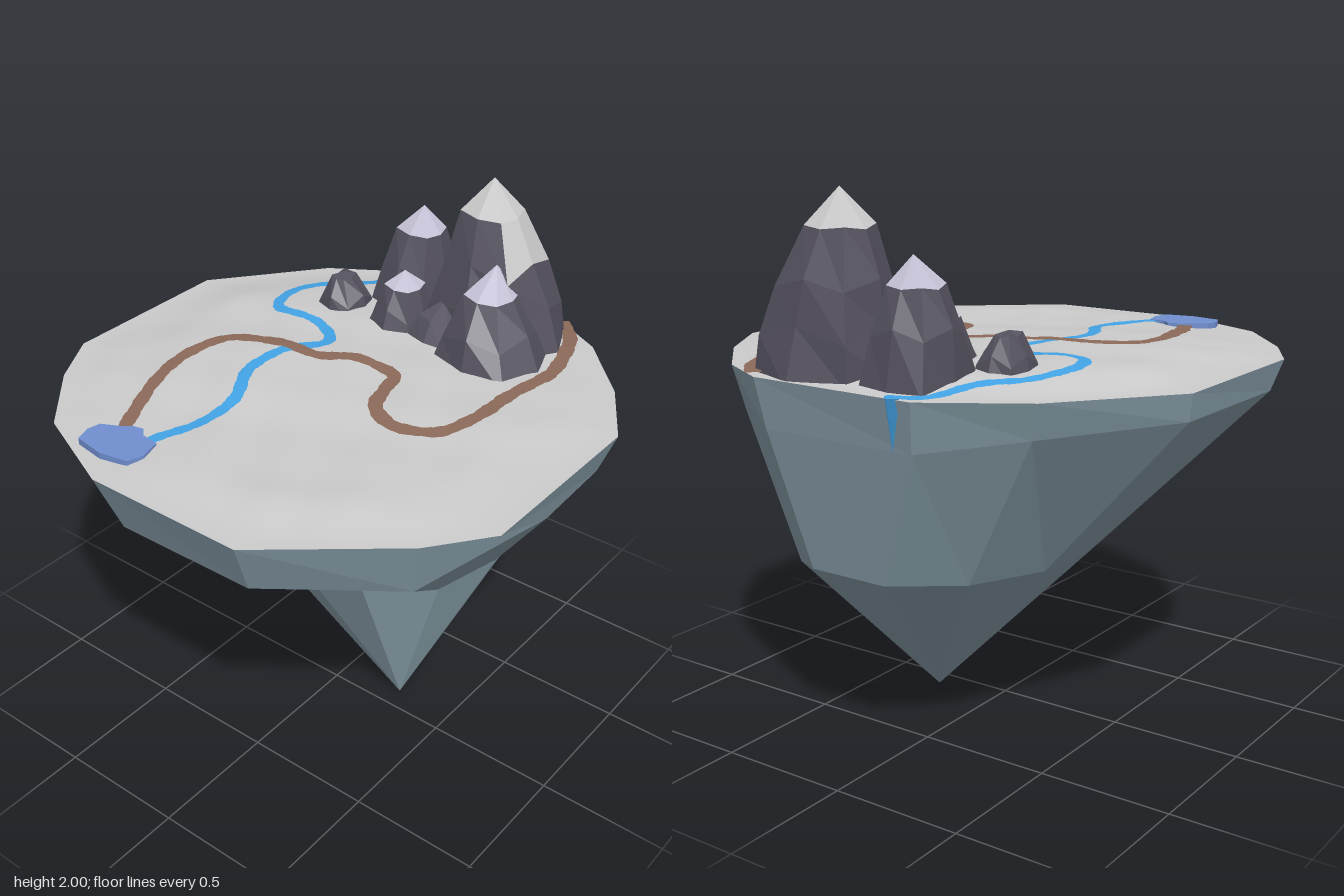
import * as THREE from 'three';

const mat = (color, extra = {}) => new THREE.MeshStandardMaterial({ color, ...extra });
const GREY = 0xcccccc, SNOW = 0xc6c2d6;

function addMesh(parent, name, geometry, material) {
  const mesh = new THREE.Mesh(geometry, material);
  mesh.name = name;
  parent.add(mesh);
  return mesh;
}

// Island columns: rim x, z | shoulder x, y, z | waist x, y, z
const RIM_Y = 1.38;
const columns = [
  [-0.26, 0.96, -0.23, 1.15, 0.87, -0.07, 0.67, 0.17],
  [0.36, 0.96, 0.33, 1.16, 0.87, 0.25, 0.69, 0.17],
  [0.80, 0.60, 0.75, 1.155, 0.55, 0.46, 0.66, -0.03],
  [0.96, 0.39, 0.90, 1.20, 0.00, 0.52, 0.65, -0.33],
  [0.96, -0.34, 0.90, 1.22, -0.33, 0.52, 0.65, -0.36],
  [0.80, -0.60, 0.77, 1.25, -0.60, 0.48, 0.66, -0.62],
  [0.57, -0.84, 0.54, 1.22, -0.81, 0.38, 0.67, -0.73],
  [0.36, -0.95, 0.34, 1.20, -0.92, 0.25, 0.69, -0.81],
  [-0.31, -0.96, -0.28, 1.20, -0.92, -0.07, 0.69, -0.81],
  [-0.64, -0.75, -0.60, 1.25, -0.72, -0.28, 0.68, -0.62],
  [-0.96, -0.35, -0.94, 1.28, -0.33, -0.41, 0.68, -0.35],
  [-0.96, 0.34, -0.93, 1.27, 0.30, -0.42, 0.68, -0.10],
  [-0.84, 0.55, -0.78, 1.18, 0.48, -0.40, 0.68, 0.03],
  [-0.62, 0.80, -0.60, 1.17, 0.68, -0.28, 0.675, 0.14],
];
const rim = columns.map((c) => [c[0], c[1]]);

// Faceted skin over closed rings listed from top to bottom; keep(row, column) picks the faces
function loft(rings, keep = () => true) {
  const pos = [], n = rings[0].length;
  for (let r = 0; r < rings.length - 1; r++) {
    for (let i = 0; i < n; i++) {
      if (!keep(r, i)) continue;
      const j = (i + 1) % n, a = rings[r], b = rings[r + 1];
      pos.push(...a[i], ...b[i], ...b[j], ...a[i], ...b[j], ...a[j]);
    }
  }
  const g = new THREE.BufferGeometry();
  g.setAttribute('position', new THREE.Float32BufferAttribute(pos, 3));
  g.computeVertexNormals();
  return g;
}

// 0 at the middle of the island, 1 on its rim
function rimFraction(x, z) {
  let t = 0;
  rim.forEach(([ax, az], i) => {
    const [bx, bz] = rim[(i + 1) % rim.length];
    const nx = az - bz, nz = bx - ax;
    t = Math.max(t, (nx * x + nz * z) / (nx * ax + nz * az));
  });
  return t;
}

// Rolling ground height
function ground(x, z) {
  const ramp = THREE.MathUtils.smoothstep(1 - rimFraction(x, z), 0, 0.3);
  const hump = 0.03 * Math.exp(-((x + 0.25) ** 2 + (z + 0.2) ** 2) / 0.2);
  const roll = 0.009 * Math.sin(5 * x + 2 * z) * Math.cos(6 * z - 2 * x + 1)
    + 0.004 * Math.sin(14 * x + 5 * z) * Math.sin(13 * z - 6 * x)
    + 0.002 * Math.sin(23 * x - 17 * z);
  const basin = 0.02 * Math.exp(-((x + 0.33) ** 2 + (z - 0.77) ** 2) / 0.02);
  return RIM_Y + ramp * (0.024 + hump + roll - basin);
}

function terrainGeometry() {
  const per = 8, rows = 36, n = rim.length * per, pos = [], index = [];
  for (let r = 0; r <= rows; r++) {
    for (let i = 0; i < n; i++) {
      const k = Math.floor(i / per), f = (i % per) / per, t = r / rows;
      const [ax, az] = rim[k], [bx, bz] = rim[(k + 1) % rim.length];
      const x = t * (ax + (bx - ax) * f), z = t * (az + (bz - az) * f);
      pos.push(x, ground(x, z), z);
      if (r === rows) continue;
      const a = r * n + i, b = r * n + (i + 1) % n;
      index.push(a, a + n, b + n, a, b + n, b);
    }
  }
  const g = new THREE.BufferGeometry();
  g.setAttribute('position', new THREE.Float32BufferAttribute(pos, 3));
  g.setIndex(index);
  g.computeVertexNormals();
  return g;
}

// Strip lying on the ground along a smooth path
function ribbon(points, width, lift) {
  const curve = new THREE.CatmullRomCurve3(points.map(([x, z]) => new THREE.Vector3(x, 0, z)), false, 'centripetal');
  const steps = 180, across = 4, pos = [], index = [];
  for (let s = 0; s <= steps; s++) {
    const p = curve.getPointAt(s / steps), d = curve.getTangentAt(s / steps);
    const w = width * (1 + 0.08 * Math.sin(s * 0.9) + 0.06 * Math.sin(s * 2.3));
    for (let k = 0; k <= across; k++) {
      const o = (k / across - 0.5) * w, x = p.x - d.z * o, z = p.z + d.x * o;
      pos.push(x, ground(x, z) + lift, z);
      if (s === steps || k === across) continue;
      const a = s * (across + 1) + k, b = a + across + 1;
      index.push(a, a + 1, b + 1, a, b + 1, b);
    }
  }
  const g = new THREE.BufferGeometry();
  g.setAttribute('position', new THREE.Float32BufferAttribute(pos, 3));
  g.setIndex(index);
  g.computeVertexNormals();
  return g;
}

// Eight-sided peak: rings are [y, x centre, z centre, x radius, z radius]
function mountain(parent, name, apex, rings, snow, snowColor) {
  const group = new THREE.Group();
  group.name = name;
  const skin = [Array(8).fill(apex)];
  rings.forEach(([y, cx, cz, rx, rz], r) => skin.push([...Array(8).keys()].map((i) => {
    const a = (i * Math.PI) / 4;
    const wob = 1 + (i % 2 ? 0.14 : 0) + 0.07 * Math.sin(i * 2.7 + r * 1.9 + apex[0] * 20) * (r > 0);
    const drop = r < rings.length - 1 ? 0.025 * Math.sin(i * 3.1 + r) : 0;
    return [cx + rx * wob * Math.sin(a), y + drop, cz + rz * wob * Math.cos(a)];
  })));
  addMesh(group, 'rockSlopes', loft(skin, (r, i) => !snow(r, i)), mat(0x54515e, { flatShading: true }));
  const cap = loft(skin, snow);
  if (cap.attributes.position.count) addMesh(group, 'snowCap', cap, mat(snowColor, { flatShading: true }));
  parent.add(group);
}

export function createModel() {
  const model = new THREE.Group();
  model.name = 'floatingIsland';

  // Rock underside tapering to a point
  addMesh(model, 'islandRock', loft([
    columns.map((c) => [c[0], RIM_Y, c[1]]),
    columns.map((c) => c.slice(2, 5)),
    columns.map((c) => c.slice(5, 8)),
    columns.map(() => [0.26, 0, -0.085]),
  ]), mat(0x879da8, { flatShading: true }));

  addMesh(model, 'ground', terrainGeometry(), mat(GREY, { side: THREE.DoubleSide }));

  // River, waterfall and lake
  const water = mat(0x43a4e6, { side: THREE.DoubleSide });
  addMesh(model, 'river', ribbon([
    [-0.21, -0.96], [-0.32, -0.91], [-0.385, -0.72], [-0.51, -0.58], [-0.56, -0.41], [-0.51, -0.28], [-0.31, -0.28],
    [-0.19, -0.19], [-0.27, -0.02], [-0.28, 0.155], [-0.19, 0.34], [-0.19, 0.52], [-0.26, 0.71],
  ], 0.046, 0.006), water);
  const fall = addMesh(model, 'waterfall', new THREE.ConeGeometry(0.03, 0.18, 4), water);
  fall.rotation.x = Math.PI;
  fall.position.set(-0.23, 1.295, -0.95);

  const shore = [[-0.47, 0.78], [-0.46, 0.73], [-0.40, 0.70], [-0.36, 0.67], [-0.32, 0.66], [-0.29, 0.69],
    [-0.22, 0.70], [-0.20, 0.78], [-0.22, 0.84], [-0.33, 0.86], [-0.45, 0.84]];
  const lake = new THREE.ExtrudeGeometry(
    new THREE.Shape(shore.map(([x, z]) => new THREE.Vector2(x, -z))), { depth: 0.03, bevelEnabled: false });
  lake.rotateX(-Math.PI / 2);
  addMesh(model, 'lake', lake, mat(0x7190d0)).position.y = 1.375;

  // Winding footpath
  addMesh(model, 'footpath', ribbon([
    [0.38, -0.93], [0.47, -0.84], [0.53, -0.70], [0.57, -0.52], [0.545, -0.28], [0.545, -0.08], [0.48, 0.08],
    [0.365, 0.135], [0.235, 0.08], [0.185, -0.05], [0.16, -0.13], [0.0, -0.145], [-0.15, -0.07], [-0.31, -0.05],
    [-0.49, 0.04], [-0.535, 0.21], [-0.49, 0.44], [-0.385, 0.69],
  ], 0.054, 0.010), mat(0x8c6a59, { side: THREE.DoubleSide }));

  // Mountain range
  const range = new THREE.Group();
  range.name = 'mountains';
  model.add(range);
  const tip = (r) => r === 0, bare = () => false;
  mountain(range, 'mainPeak', [0.17, 2.0, -0.71], [
    [1.87, 0.17, -0.71, 0.11, 0.10], [1.69, 0.19, -0.71, 0.18, 0.17],
    [1.53, 0.21, -0.71, 0.23, 0.20], [1.36, 0.22, -0.71, 0.27, 0.225],
  ], (r, i) => r === 0 || (r === 1 && (i === 1 || i === 2)), GREY);
  mountain(range, 'westPeak', [-0.15, 1.80, -0.73], [
    [1.70, -0.16, -0.73, 0.09, 0.08], [1.56, -0.17, -0.73, 0.13, 0.14], [1.36, -0.165, -0.73, 0.16, 0.185],
  ], tip, SNOW);
  mountain(range, 'eastPeak', [0.29, 1.74, -0.57], [
    [1.63, 0.29, -0.55, 0.09, 0.10], [1.50, 0.31, -0.53, 0.15, 0.16], [1.36, 0.32, -0.52, 0.21, 0.21],
  ], tip, SNOW);
  mountain(range, 'smallPeak', [-0.09, 1.62, -0.53], [
    [1.56, -0.09, -0.53, 0.07, 0.07], [1.47, -0.09, -0.52, 0.10, 0.10], [1.36, -0.09, -0.51, 0.125, 0.13],
  ], tip, SNOW);
  mountain(range, 'foothill', [0.09, 1.55, -0.55], [
    [1.49, 0.09, -0.53, 0.08, 0.08], [1.36, 0.09, -0.52, 0.14, 0.15],
  ], bare);
  mountain(range, 'boulder', [-0.36, 1.545, -0.50], [
    [1.53, -0.36, -0.50, 0.035, 0.05], [1.45, -0.35, -0.50, 0.085, 0.09], [1.37, -0.35, -0.50, 0.10, 0.11],
  ], bare);

  return model;
}
